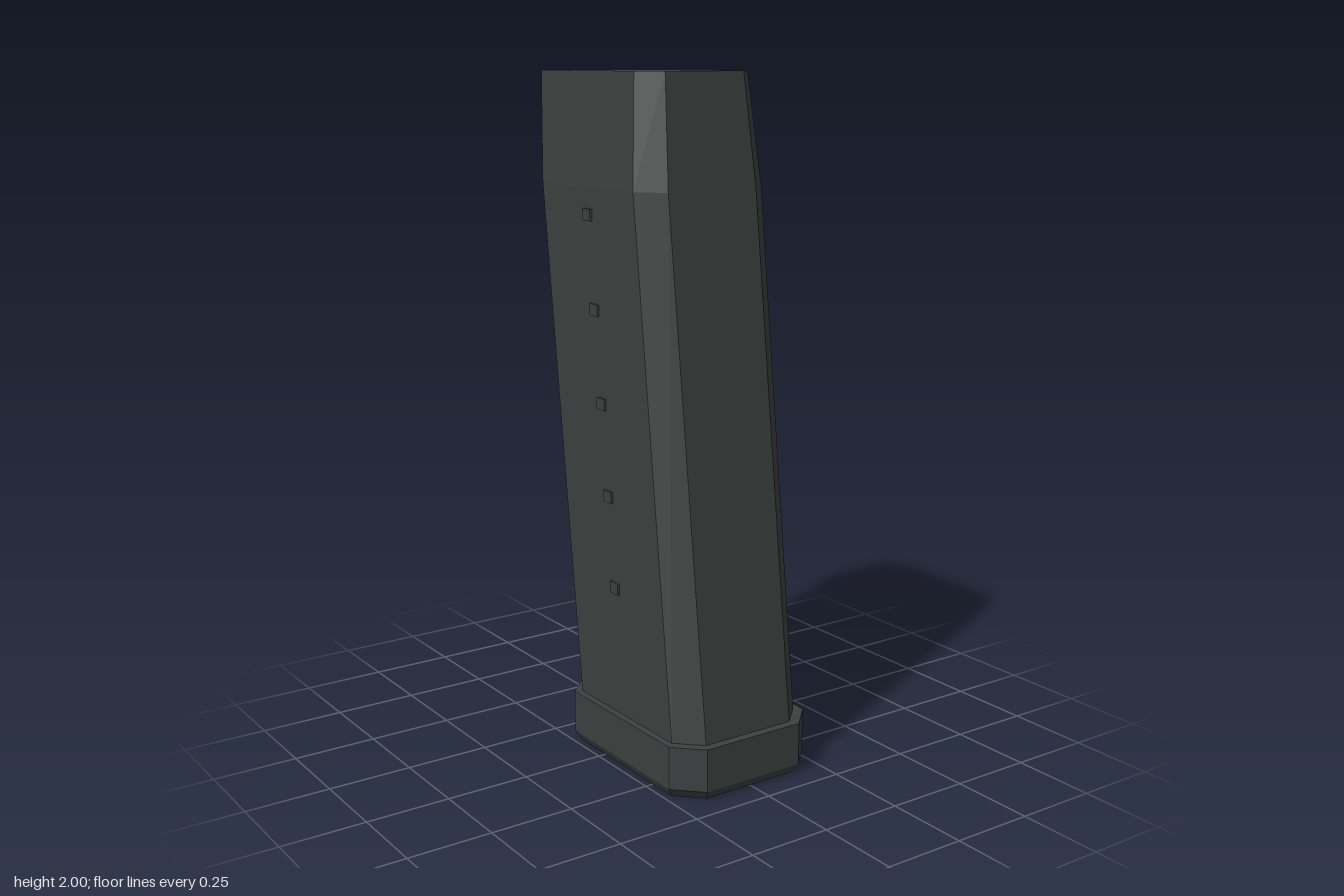
import * as THREE from 'three';

// Rectangle with cut corners, counter-clockwise seen from above
function ring({ y, halfX, front, back, cutX, cutZ }) {
  const inner = halfX - cutX;
  return [
    [-inner, front], [inner, front], [halfX, front - cutZ], [halfX, back + cutZ],
    [inner, back], [-inner, back], [-halfX, back + cutZ], [-halfX, front - cutZ],
  ].map(([x, z]) => new THREE.Vector3(x, y, z));
}

// Closed, flat-faced loft through rings listed from bottom to top
function loft(sections) {
  const rings = sections.map(ring);
  const points = [];
  const n = rings[0].length;
  for (let r = 0; r < rings.length - 1; r++) {
    const a = rings[r], b = rings[r + 1];
    for (let i = 0; i < n; i++) {
      const j = (i + 1) % n;
      points.push(a[i], a[j], b[j], a[i], b[j], b[i]);
    }
  }
  const bottom = rings[0], top = rings[rings.length - 1];
  for (let i = 1; i < n - 1; i++) {
    points.push(bottom[0], bottom[i + 1], bottom[i], top[0], top[i], top[i + 1]);
  }
  const geometry = new THREE.BufferGeometry().setFromPoints(points);
  geometry.computeVertexNormals();
  return geometry;
}

export function createModel() {
  const model = new THREE.Group();
  const charcoal = new THREE.MeshStandardMaterial({ color: 0x3b4140 });
  charcoal.name = 'charcoal';

  const add = (name, geometry) => {
    const mesh = new THREE.Mesh(geometry, charcoal);
    mesh.name = name;
    model.add(mesh);
    return mesh;
  };

  // The body leans backwards as it rises
  const lean = (y) => -0.122 * (y - 0.155);
  const bodySection = (y, halfX, cutX, cutZ) => ({
    y, halfX, cutX, cutZ, front: 0.403 + lean(y), back: -0.207 + lean(y),
  });

  // Slanted body, narrowing near the top
  add('body', loft([
    bodySection(0.14, 0.219, 0.07, 0.068),
    bodySection(1.68, 0.219, 0.07, 0.066),
    bodySection(2, 0.192, 0.06, 0.061),
  ]));

  // Base plate with a bevelled lower edge
  add('basePlate', loft([
    { y: 0, halfX: 0.225, front: 0.413, back: -0.208, cutX: 0.072, cutZ: 0.072 },
    { y: 0.028, halfX: 0.241, front: 0.43, back: -0.225, cutX: 0.077, cutZ: 0.077 },
    { y: 0.155, halfX: 0.241, front: 0.43, back: -0.225, cutX: 0.077, cutZ: 0.077 },
  ]));

  // Row of small raised markers on each side
  const markerGeometry = new THREE.BoxGeometry(0.016, 0.034, 0.04);
  for (const side of [-1, 1]) {
    for (let i = 0; i < 5; i++) {
      const y = 0.535 + i * 0.267;
      add('sideMarker', markerGeometry).position.set(side * 0.218, y, 0.098 + lean(y));
    }
  }
  return model;
}
